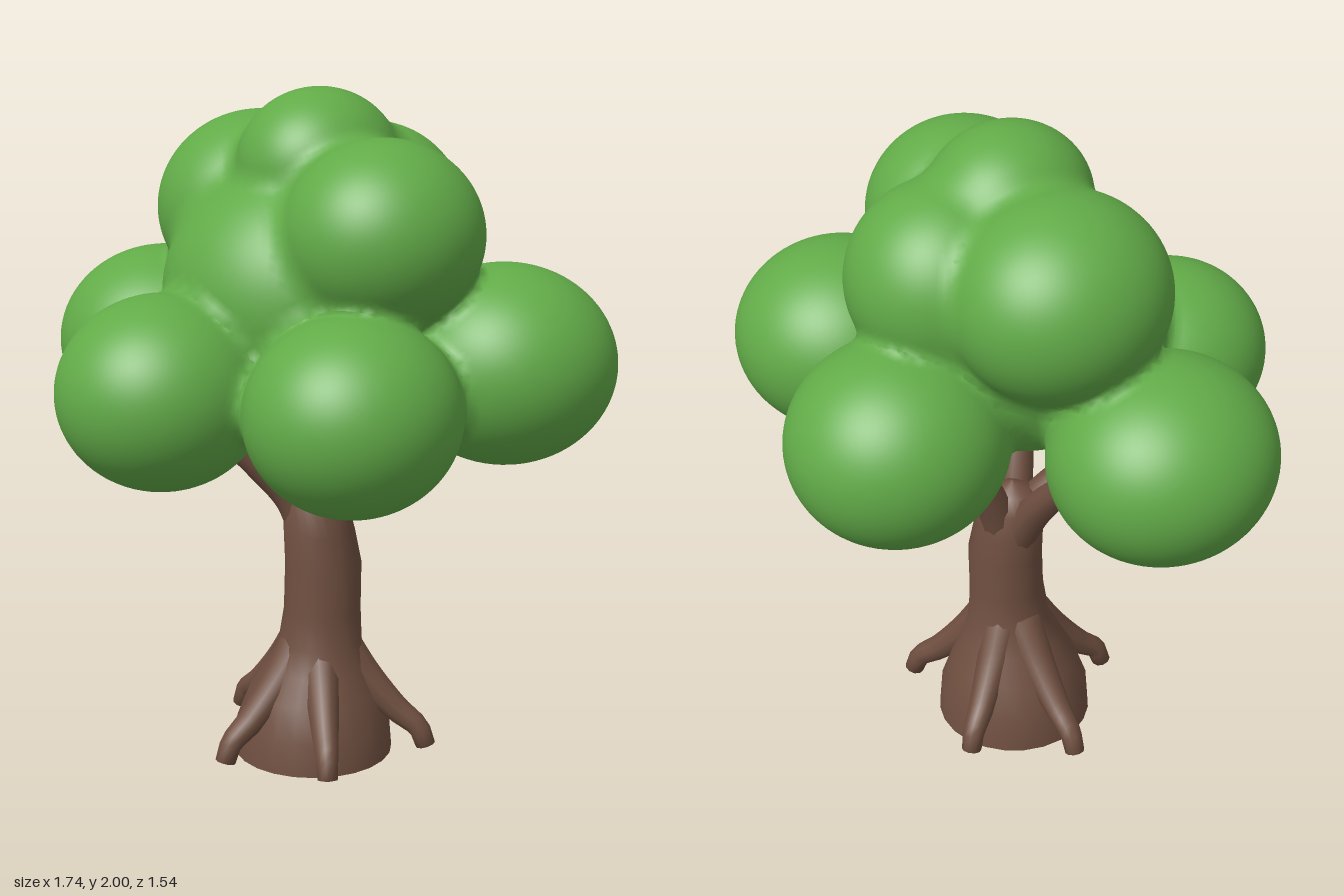
import * as THREE from 'three';
import { mergeVertices } from 'three/addons/utils/BufferGeometryUtils.js';

const V = (x, y, z) => new THREE.Vector3(x, y, z);
const bark = new THREE.MeshStandardMaterial({ color: 0x6f4f40 });
bark.name = 'bark';
const leaf = new THREE.MeshStandardMaterial({ color: 0x62ab48 });
leaf.name = 'leaf';

// Leaf clumps: name, centre, radii
const clumps = [
  ['coreClump', V(0, 1.42, 0.04), V(0.42, 0.38, 0.41)],
  ['lowerRightClump', V(-0.56, 1.21, -0.06), V(0.315, 0.285, 0.33)],
  ['lowerLeftClump', V(0.55, 1.24, -0.11), V(0.32, 0.285, 0.32)],
  ['lowerFrontRightClump', V(-0.225, 1.185, 0.46), V(0.295, 0.275, 0.31)],
  ['lowerFrontLeftClump', V(0.335, 1.17, 0.39), V(0.295, 0.275, 0.31)],
  ['lowerBackClump', V(0.05, 1.225, -0.45), V(0.31, 0.29, 0.32)],
  ['upperRightClump', V(-0.25, 1.63, -0.12), V(0.3, 0.285, 0.32)],
  ['upperFrontLeftClump', V(0.3, 1.62, 0.16), V(0.28, 0.265, 0.29)],
  ['upperBackClump', V(0.08, 1.61, -0.19), V(0.28, 0.28, 0.285)],
  ['topClump', V(0.02, 1.78, 0.01), V(0.23, 0.22, 0.25)],
];

// Approximate signed distance to the softly blended clumps
const BLEND = 0.045;
function canopyField(p) {
  let d = Infinity;
  for (const [, c, r] of clumps) {
    const q = p.clone().sub(c).divide(r);
    const k0 = q.length();
    const e = k0 < 1e-6 ? -0.2 : (k0 * (k0 - 1)) / q.divide(r).length();
    if (d === Infinity) { d = e; continue; }
    const h = Math.max(BLEND - Math.abs(d - e), 0) / BLEND;
    d = Math.min(d, e) - h * h * BLEND * 0.25;
  }
  return d;
}

function fieldNormal(p) {
  const s = 0.004;
  const slope = (a) => canopyField(p.clone().add(a)) - canopyField(p.clone().sub(a));
  return V(slope(V(s, 0, 0)), slope(V(0, s, 0)), slope(V(0, 0, s))).normalize();
}

// An ellipsoid whose seams swell out to meet the blended surface
function clumpGeometry(centre, radii) {
  const geo = new THREE.IcosahedronGeometry(1, 14);
  const pos = geo.attributes.position, nor = geo.attributes.normal;
  const p = new THREE.Vector3();
  for (let i = 0; i < pos.count; i++) {
    p.fromBufferAttribute(pos, i);
    const out = p.clone().divide(radii).normalize();
    p.multiply(radii).add(centre);
    if (canopyField(p) > -0.02) {
      for (let k = 0; k < 3; k++) {
        p.addScaledVector(out, Math.min(0.015, Math.max(0, -canopyField(p))));
      }
    }
    const n = fieldNormal(p);
    pos.setXYZ(i, p.x, p.y, p.z);
    nor.setXYZ(i, n.x, n.y, n.z);
  }
  return geo;
}

// Tapered limb along a smooth path, closed at its tip
function limbGeometry(points, r0, r1) {
  const n = 16, sides = 10;
  const curve = new THREE.CatmullRomCurve3(points);
  const geo = new THREE.TubeGeometry(curve, n, 1, sides);
  const pos = geo.attributes.position, p = new THREE.Vector3();
  for (let i = 0; i <= n; i++) {
    const centre = curve.getPointAt(i / n);
    const ring = curve.getPointAt(i === n - 1 ? 0.985 : i / n);
    const r = i === n ? 0 : THREE.MathUtils.lerp(r0, r1, i / n);
    for (let j = 0; j <= sides; j++) {
      const k = i * (sides + 1) + j;
      p.fromBufferAttribute(pos, k).sub(centre).multiplyScalar(r).add(ring);
      pos.setXYZ(k, p.x, p.y, p.z);
    }
  }
  geo.deleteAttribute('uv');
  geo.deleteAttribute('normal');
  const merged = mergeVertices(geo, 1e-5);
  merged.computeVertexNormals();
  return merged;
}

function add(parent, name, geometry, material) {
  const mesh = new THREE.Mesh(geometry, material);
  mesh.name = name;
  parent.add(mesh);
  return mesh;
}

export function createModel() {
  const tree = new THREE.Group();
  tree.name = 'tree';

  // Trunk: a flared lathe whose rings follow a gentle bend
  // Each row: height, radius, x shift, z shift
  const rows = [
    [0, 0.24, 0, 0.01], [0.1, 0.232, 0, 0.01], [0.2, 0.195, 0.005, 0.015],
    [0.28, 0.155, 0.015, 0.02], [0.36, 0.125, 0.03, 0.02], [0.46, 0.115, 0.036, 0.018],
    [0.6, 0.114, 0.036, 0.012], [0.7, 0.106, 0.02, 0.008], [0.79, 0.094, 0.004, 0.005],
    [0.84, 0.065, 0, 0.003], [0.87, 0, 0, 0],
  ];
  const trunkGeo = new THREE.LatheGeometry(rows.map(([y, r]) => new THREE.Vector2(r, y)), 24);
  const pos = trunkGeo.attributes.position;
  for (let i = 0; i < pos.count; i++) {
    const row = rows[i % rows.length];
    pos.setX(i, pos.getX(i) + row[2]);
    pos.setZ(i, pos.getZ(i) + row[3]);
  }
  add(tree, 'trunk', trunkGeo, bark);
  const base = add(tree, 'trunkBase', new THREE.CircleGeometry(0.24, 24), bark);
  base.rotation.x = Math.PI / 2;
  base.position.z = 0.01;

  // Roots: five arched limbs running down from the trunk
  const roots = new THREE.Group();
  roots.name = 'roots';
  tree.add(roots);
  for (const [x, z] of [[0.34, -0.09], [0.2, 0.28], [-0.13, 0.32], [-0.325, -0.1], [-0.06, -0.29]]) {
    const at = (f, y) => V(x * f + 0.02 * (1 - f), y, z * f + 0.015 * (1 - f));
    add(roots, 'root', limbGeometry(
      [at(0.17, 0.36), at(0.42, 0.25), at(0.72, 0.145), at(0.92, 0.09), at(0.99, 0.03)], 0.065, 0.028), bark);
  }

  // Branches: limbs fanning out from the trunk top into the leaves
  const branches = new THREE.Group();
  branches.name = 'branches';
  tree.add(branches);
  for (const [x, y, z] of [[-0.31, 1.05, -0.06], [-0.18, 0.98, 0.18], [0.05, 1.12, -0.22],
    [0.3, 1.02, -0.05], [0.08, 1.1, 0.16]]) {
    add(branches, 'branch', limbGeometry(
      [V(0.01 + x * 0.1, 0.68, z * 0.1), V(x * 0.3, 0.8, z * 0.3), V(x * 0.7, 0.8 + (y - 0.8) * 0.6, z * 0.7), V(x, y, z)],
      0.06, 0.034), bark);
  }

  // Canopy: blended leaf clumps
  const canopy = new THREE.Group();
  canopy.name = 'canopy';
  tree.add(canopy);
  for (const [name, c, r] of clumps) add(canopy, name, clumpGeometry(c, r), leaf);

  return tree;
}
